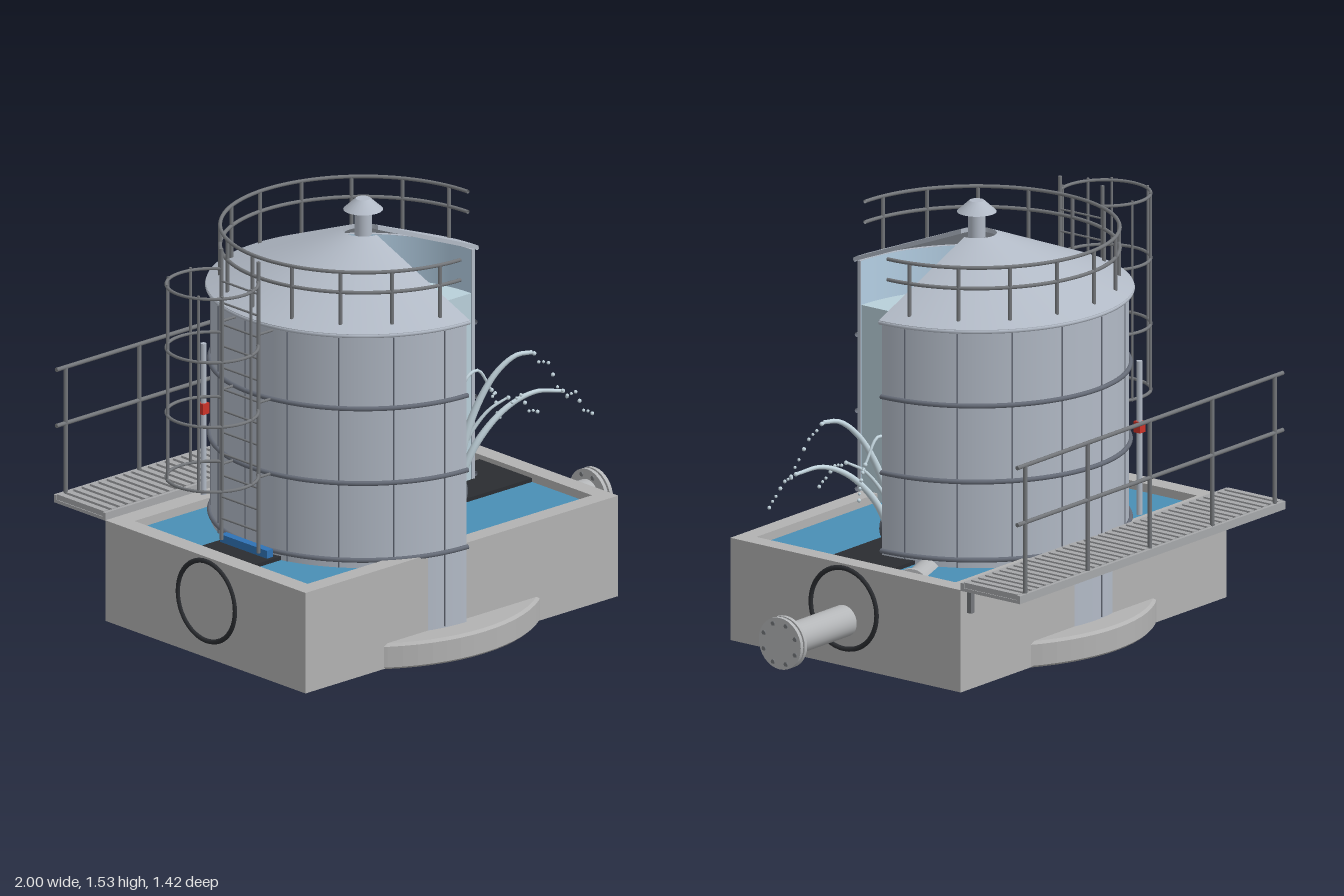
import * as THREE from 'three';

const CX = -0.11, CZ = 0.077, R = 0.533; // tank axis and radius
const CUT = Math.PI / 2, SWEEP = Math.PI * 1.5; // front-left quarter is cut away
const mat = (color) => new THREE.MeshStandardMaterial({ color, side: THREE.DoubleSide });
const M = {
  steel: mat(0xb2bac6), liner: mat(0xb4cfe4), content: mat(0xb9d0da), concrete: mat(0xb2b2b2),
  pool: mat(0x4a8fb5), rail: mat(0x74777b), dark: mat(0x2b2d31), band: mat(0x666c78),
  deck: mat(0xa6a8aa), blue: mat(0x2f72b5), red: mat(0xcc3328), jet: mat(0xc3d5de), motor: mat(0x585e68), pipe: mat(0xb4b6b8),
};

function add(parent, name, geo, m, x = 0, y = 0, z = 0) {
  const mesh = new THREE.Mesh(geo, m);
  mesh.name = name;
  mesh.position.set(x, y, z);
  parent.add(mesh);
  return mesh;
}
function group(parent, name, x = 0, y = 0, z = 0) {
  const g = new THREE.Group();
  g.name = name;
  g.position.set(x, y, z);
  parent.add(g);
  return g;
}
const box = (w, h, d) => new THREE.BoxGeometry(w, h, d);
const cyl = (r, h, n = 24, r2 = r) => new THREE.CylinderGeometry(r2, r, h, n);

// round bar between two points
function bar(parent, name, a, b, r, m, n = 8) {
  const p = new THREE.Vector3(...a), q = new THREE.Vector3(...b);
  const mesh = add(parent, name, cyl(r, p.distanceTo(q), n), m);
  mesh.position.copy(p).add(q).multiplyScalar(0.5);
  mesh.quaternion.setFromUnitVectors(new THREE.Vector3(0, 1, 0), q.sub(p).normalize());
  return mesh;
}

// three-quarter revolve of a closed [r, y] section, with both cut faces filled
function cutaway(parent, name, section, m) {
  const g = group(parent, name);
  const ring = [...section, section[0]];
  // every edge gets its own lathe so the corners stay sharp
  for (let i = 0; i < section.length; i++) {
    const pts = [ring[i], ring[i + 1]].map((p) => new THREE.Vector2(...p));
    if (pts[0].x + pts[1].x > 0) add(g, name + 'Skin', new THREE.LatheGeometry(pts, 72, CUT, SWEEP), m);
  }
  const face = new THREE.ShapeGeometry(new THREE.Shape(section.map((p) => new THREE.Vector2(...p))));
  add(g, name + 'CutFace', face, m);
  add(g, name + 'CutFace', face, m).rotation.y = -Math.PI / 2;
}

// horizontal hoop that leaves the cut quarter open
function hoop(parent, name, r, y, tube, m) {
  const geo = new THREE.TorusGeometry(r, tube, 8, 72, SWEEP).rotateZ(CUT).rotateX(Math.PI / 2);
  add(parent, name, geo, m, 0, y, 0);
}

function buildTank(root) {
  const t = group(root, 'tank', CX, 0, CZ);
  cutaway(t, 'tankWall', [[R, 0.09], [R, 1.21], [R - 0.014, 1.21], [R - 0.014, 0.09]], M.steel);
  add(t, 'innerLining', new THREE.CylinderGeometry(R - 0.016, R - 0.016, 0.85, 72, 1, true, CUT, SWEEP), M.liner, 0, 0.785, 0);
  cutaway(t, 'storedLiquid', [[0, 0.3], [R - 0.018, 0.3], [R - 0.018, 1.05], [0, 1.05]], M.content);
  cutaway(t, 'roof', [[0.07, 1.41], [0.55, 1.218], [0.55, 1.203], [0.07, 1.393]], M.steel);
  for (const y of [0.375, 0.66, 0.937]) hoop(t, 'wallBand', R + 0.004, y, 0.009, M.band);
  hoop(t, 'eaveRing', 0.545, 1.21, 0.008, M.steel);
  // plate seams and guard rail posts
  for (let i = 0; i < 13; i++) {
    const a = CUT + ((i + 0.5) / 13) * SWEEP, c = Math.cos(a), s = Math.sin(a);
    bar(t, 'plateSeam', [R * c, 0.1, R * s], [R * c, 1.2, R * s], 0.003, M.band, 6);
    bar(t, 'roofRailPost', [0.5 * c, 1.225, 0.5 * s], [0.5 * c, 1.43, 0.5 * s], 0.007, M.rail);
  }
  for (const y of [1.355, 1.43]) hoop(t, 'roofRail', 0.5, y, 0.007, M.rail);
  // roof vent
  add(t, 'ventNeck', cyl(0.031, 0.1), M.steel, 0, 1.445, 0);
  add(t, 'ventCap', cyl(0.07, 0.04, 24, 0.026), M.steel, 0, 1.508, 0);
  // level gauge at the back
  add(t, 'levelGauge', cyl(0.011, 0.56, 12), M.steel, -0.335, 0.67, -0.46);
  add(t, 'gaugeMarker', box(0.03, 0.04, 0.03), M.red, -0.335, 0.71, -0.46);
}

function buildBasin(root) {
  const b = group(root, 'basin');
  const shape = new THREE.Shape([[-0.855, 0.445], [-0.855, -0.585], [0.635, -0.585], [0.635, 0.445]].map((p) => new THREE.Vector2(...p)));
  shape.holes.push(new THREE.Path([[-0.785, 0.37], [0.57, 0.37], [0.57, -0.52], [-0.785, -0.52]].map((p) => new THREE.Vector2(...p))));
  const walls = new THREE.ExtrudeGeometry(shape, { depth: 0.373, bevelEnabled: false }).rotateX(-Math.PI / 2);
  add(b, 'basinWalls', walls, M.concrete, 0, 0.003, 0);
  add(b, 'basinFloor', box(1.4, 0.05, 0.95), M.concrete, -0.11, 0.029, 0.07);
  add(b, 'basinWater', box(1.355, 0.02, 0.89), M.pool, -0.1075, 0.335, 0.075);
  add(b, 'channel', box(1.355, 0.359, 0.27), M.dark, -0.1075, 0.1795, CZ);
  // round footing with softened edges
  const foot = [[0, 0], [0.622, 0], [0.63, 0.008], [0.63, 0.085], [0.62, 0.095], [0, 0.095]].map((p) => new THREE.Vector2(...p));
  const footing = add(b, 'footing', new THREE.LatheGeometry(foot, 72).toNonIndexed(), M.concrete, CX, 0, CZ);
  footing.geometry.computeVertexNormals();
  for (const x of [-0.855, 0.635]) {
    add(b, 'wallSleeve', new THREE.TorusGeometry(0.147, 0.009, 10, 48).rotateY(Math.PI / 2), M.dark, x, 0.213, CZ);
  }
}

function flange(parent, r) {
  for (const y of [-0.008, -0.03]) add(parent, 'flange', cyl(r, 0.014, 32), M.pipe, 0, y, 0);
  for (let i = 0; i < 8; i++) {
    const a = ((i + 0.5) / 8) * Math.PI * 2;
    add(parent, 'flangeBolt', cyl(r * 0.09, 0.046, 6), M.rail, Math.cos(a) * r * 0.8, -0.019, Math.sin(a) * r * 0.8);
  }
}

function buildPipes(root) {
  bar(root, 'outletPipe', [0.55, 0.168, CZ], [0.99, 0.168, CZ], 0.057, M.pipe, 32);
  const f = group(root, 'outletFlange', 0.996, 0.168, CZ);
  f.rotation.z = -Math.PI / 2;
  flange(f, 0.094);
  bar(root, 'sidePipe', [0.36, 0.32, -0.09], [0.55, 0.32, -0.16], 0.048, M.pipe, 24);
  bar(root, 'sidePipeFlange', [0.54, 0.32, -0.156], [0.555, 0.32, -0.162], 0.062, M.pipe, 24);
  add(root, 'sluiceGate', box(0.03, 0.1, 0.24), M.blue, -0.665, 0.338, CZ);
}

function buildValve(root) {
  const v = group(root, 'valve', CX, 0, CZ);
  add(v, 'valveBase', cyl(0.085, 0.025), M.blue, 0, 0.372, 0);
  for (const s of [-1, 1]) add(v, 'yokePost', box(0.022, 0.2, 0.04), M.blue, s * 0.045, 0.475, 0);
  add(v, 'yokeTop', box(0.125, 0.022, 0.05), M.blue, 0, 0.57, 0);
  add(v, 'valveStem', cyl(0.011, 0.36, 12), M.pipe, 0, 0.55, 0);
  add(v, 'stemNut', cyl(0.025, 0.045, 8), M.pipe, 0, 0.6, 0);
  add(v, 'handwheel', new THREE.TorusGeometry(0.122, 0.012, 12, 48).rotateX(Math.PI / 2), M.red, 0, 0.632, 0);
  add(v, 'wheelHub', cyl(0.03, 0.03, 16), M.red, 0, 0.632, 0);
  for (let i = 0; i < 4; i++) {
    const a = Math.PI / 4 + (i * Math.PI) / 2;
    bar(v, 'wheelSpoke', [0, 0.632, 0], [0.12 * Math.cos(a), 0.632, 0.12 * Math.sin(a)], 0.009, M.red);
  }
}

function buildPumpAndJets(root) {
  bar(root, 'pumpBody', [0.2, 0.39, 0.06], [0.2, 0.39, 0.22], 0.058, M.motor, 32);
  bar(root, 'lever', [0.14, 0.547, 0.1], [0.26, 0.547, 0.1], 0.009, M.motor);
  for (const x of [0.15, 0.175, 0.225, 0.25]) bar(root, 'leverCollar', [x - 0.004, 0.547, 0.1], [x + 0.004, 0.547, 0.1], 0.02, M.motor, 12);
  // each jet: path of the stream, then where its last drops land
  const jets = [
    [[[0.29, 0.36, 0.11], [0.34, 0.6, 0.14], [0.42, 0.77, 0.18], [0.49, 0.835, 0.215], [0.545, 0.84, 0.24]], [0.655, 0.65, 0.3], 0.015],
    [[[0.3, 0.36, 0.11], [0.37, 0.53, 0.15], [0.47, 0.64, 0.19], [0.57, 0.685, 0.23], [0.66, 0.675, 0.265]], [0.765, 0.56, 0.31], 0.013],
    [[[0.29, 0.36, 0.1], [0.31, 0.58, 0.105], [0.345, 0.75, 0.11], [0.4, 0.775, 0.115], [0.46, 0.69, 0.12]], [0.5, 0.56, 0.12], 0.009],
    [[[0.28, 0.36, 0.1], [0.33, 0.53, 0.13], [0.4, 0.64, 0.17], [0.46, 0.68, 0.2]], [0.56, 0.6, 0.25], 0.009],
  ];
  for (const [path, end, r] of jets) {
    const pts = path.map((p) => new THREE.Vector3(...p));
    const geo = new THREE.TubeGeometry(new THREE.CatmullRomCurve3(pts), 32, r, 10);
    // stream thins towards its tip
    const pos = geo.attributes.position, curve = geo.parameters.path;
    for (let i = 0; i < pos.count; i++) {
      const t = Math.floor(i / 11) / 32, c = curve.getPointAt(t);
      const p = new THREE.Vector3().fromBufferAttribute(pos, i).sub(c).multiplyScalar(1.25 - 0.75 * t).add(c);
      pos.setXYZ(i, p.x, p.y, p.z);
    }
    add(root, 'waterJet', geo, M.jet);
    const last = pts[pts.length - 1], stop = new THREE.Vector3(...end);
    for (let i = 0; i < 8; i++) {
      const t = (i + 0.4) / 7.4, p = last.clone().lerp(stop, t);
      const wob = 0.012 * Math.sin(i * 4.7);
      add(root, 'waterDrop', new THREE.SphereGeometry(0.008 - 0.0025 * Math.abs(Math.sin(i * 2.3)), 10, 8), M.jet, p.x + wob, p.y + 0.1 * t * (1 - t) + wob, p.z - wob);
    }
  }
}

function buildWalkway(root) {
  const w = group(root, 'walkway');
  add(w, 'deckPlate', box(1.49, 0.012, 0.265), M.deck, -0.11, 0.38, -0.5775);
  for (const z of [-0.452, -0.703]) add(w, 'deckEdge', box(1.49, 0.028, 0.014), M.deck, -0.11, 0.389, z);
  for (let i = 0; i < 38; i++) add(w, 'deckSlat', box(0.024, 0.02, 0.24), M.deck, -0.84 + (i * 1.46) / 37, 0.396, -0.5775);
  for (let i = 0; i < 5; i++) {
    const x = -0.81 + i * 0.35;
    bar(w, 'walkwayPost', [x, 0.38, -0.697], [x, 0.87, -0.697], 0.008, M.rail);
    add(w, 'deckBracket', box(0.018, 0.09, 0.018), M.rail, x, 0.33, -0.454);
  }
  for (const y of [0.66, 0.868]) bar(w, 'walkwayRail', [-0.855, y, -0.697], [0.635, y, -0.697], 0.008, M.rail);
}

function buildLadder(root) {
  const l = group(root, 'cagedLadder', -0.832, 0, 0.08);
  const r = 0.161, half = Math.acos(0.132 / r);
  for (const z of [-0.095, 0.095]) bar(l, 'ladderSide', [0.132, 0.38, z], [0.132, 1.46, z], 0.007, M.rail);
  for (let y = 0.46; y < 1.42; y += 0.08) bar(l, 'ladderRung', [0.132, y, -0.095], [0.132, y, 0.095], 0.004, M.rail);
  for (const y of [0.67, 0.91, 1.15, 1.385]) {
    const geo = new THREE.TorusGeometry(r, 0.006, 8, 40, Math.PI * 2 - 2 * half).rotateZ(half).rotateX(Math.PI / 2);
    add(l, 'cageHoop', geo, M.rail, 0, y, 0);
  }
  for (const deg of [75, 120, 150, 210, 240, 285]) {
    const a = (deg * Math.PI) / 180, x = r * Math.cos(a), z = r * Math.sin(a);
    bar(l, 'cageBar', [x, 0.665, z], [x, 1.395, z], 0.005, M.rail);
  }
  for (const y of [0.66, 0.937, 1.19]) for (const z of [-0.095, 0.095]) bar(l, 'ladderBracket', [0.132, y, z], [0.215, y, z], 0.005, M.rail);
}

export function createModel() {
  const root = new THREE.Group();
  root.name = 'cutawayWaterTank';
  for (const build of [buildBasin, buildTank, buildPipes, buildValve, buildPumpAndJets, buildWalkway, buildLadder]) build(root);
  return root;
}
